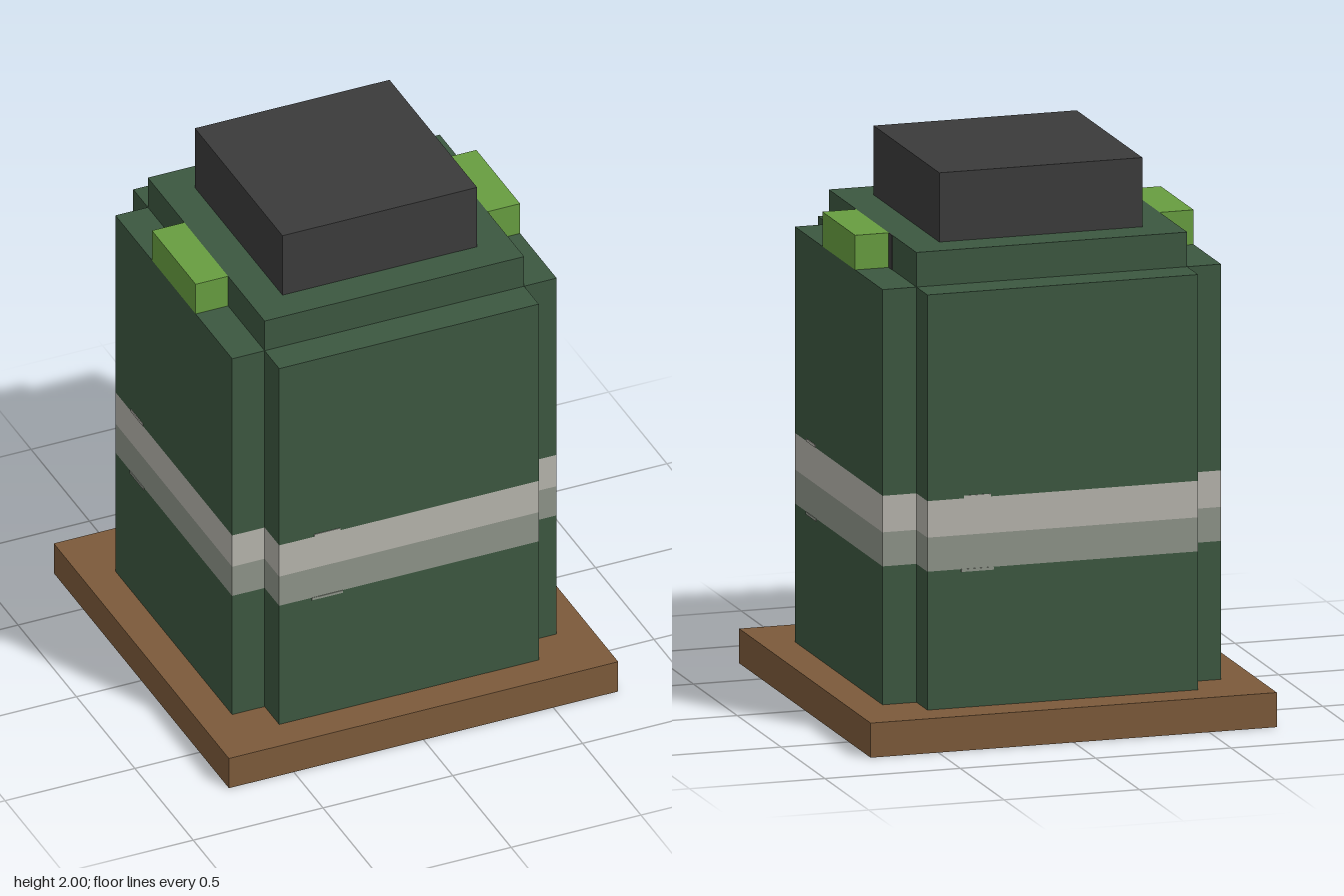
import * as THREE from 'three';

const material = (name, color) => {
  const m = new THREE.MeshStandardMaterial({ color });
  m.name = name;
  return m;
};

export function createModel() {
  const model = new THREE.Group();
  const green = material('dark green', 0x3c5740);
  const lime = material('lime green', 0x679d40);
  const brown = material('brown', 0x7c5a3a);
  const charcoal = material('charcoal', 0x3b3b3b);
  const paleGrey = material('pale grey', 0xb5b3ab);
  const grey = material('grey', 0x8d9388);

  // Box given by its centre in x and z and its bottom and top heights
  function box(name, mat, w, d, y0, y1, x = 0, z = 0, parent = model) {
    const mesh = new THREE.Mesh(new THREE.BoxGeometry(w, y1 - y0, d), mat);
    mesh.name = name;
    mesh.position.set(x, (y0 + y1) / 2, z);
    parent.add(mesh);
    return mesh;
  }

  // Plus-shaped body outline with notched corners
  const a = 0.625, b = 0.5;
  const outline = new THREE.Shape([
    [b, -a], [b, -b], [a, -b], [a, b], [b, b], [b, a],
    [-b, a], [-b, b], [-a, b], [-a, -b], [-b, -b], [-b, -a],
  ].map(([x, y]) => new THREE.Vector2(x, y)));

  function bodySection(name, mat, y0, y1) {
    const geo = new THREE.ExtrudeGeometry(outline, { depth: y1 - y0, bevelEnabled: false });
    geo.rotateX(-Math.PI / 2);
    const mesh = new THREE.Mesh(geo, mat);
    mesh.name = name;
    mesh.position.y = y0;
    model.add(mesh);
  }

  box('base', brown, 1.5, 1.5, 0, 0.125);
  bodySection('lowerBody', green, 0.125, 0.625);
  bodySection('lowerBand', grey, 0.625, 0.748);
  bodySection('upperBand', paleGrey, 0.748, 0.88);
  bodySection('upperBody', green, 0.88, 1.625);

  // Stepped top and cap
  box('topStep', green, 1, 1, 1.625, 1.75);
  box('cap', charcoal, 0.75, 0.75, 1.75, 2);

  // Side blocks
  for (const s of [-1, 1]) {
    box(s > 0 ? 'leftBlock' : 'rightBlock', lime, 0.125, 0.375, 1.625, 1.75, s * 0.5625);
  }
  box('darkMark', charcoal, 0.004, 0.04, 1.625, 1.75, 0.5, -0.207);

  // Small uneven edges of the bands on each face
  for (let i = 0; i < 4; i++) {
    const trim = new THREE.Group();
    trim.name = 'bandTrim';
    trim.rotation.y = i * Math.PI / 2;
    box('upperNick', paleGrey, 0.1, 0.004, 0.88, 0.89, -0.315, a, trim);
    box('lowerNick', grey, 0.12, 0.004, 0.615, 0.625, -0.315, a, trim);
    model.add(trim);
  }
  return model;
}
